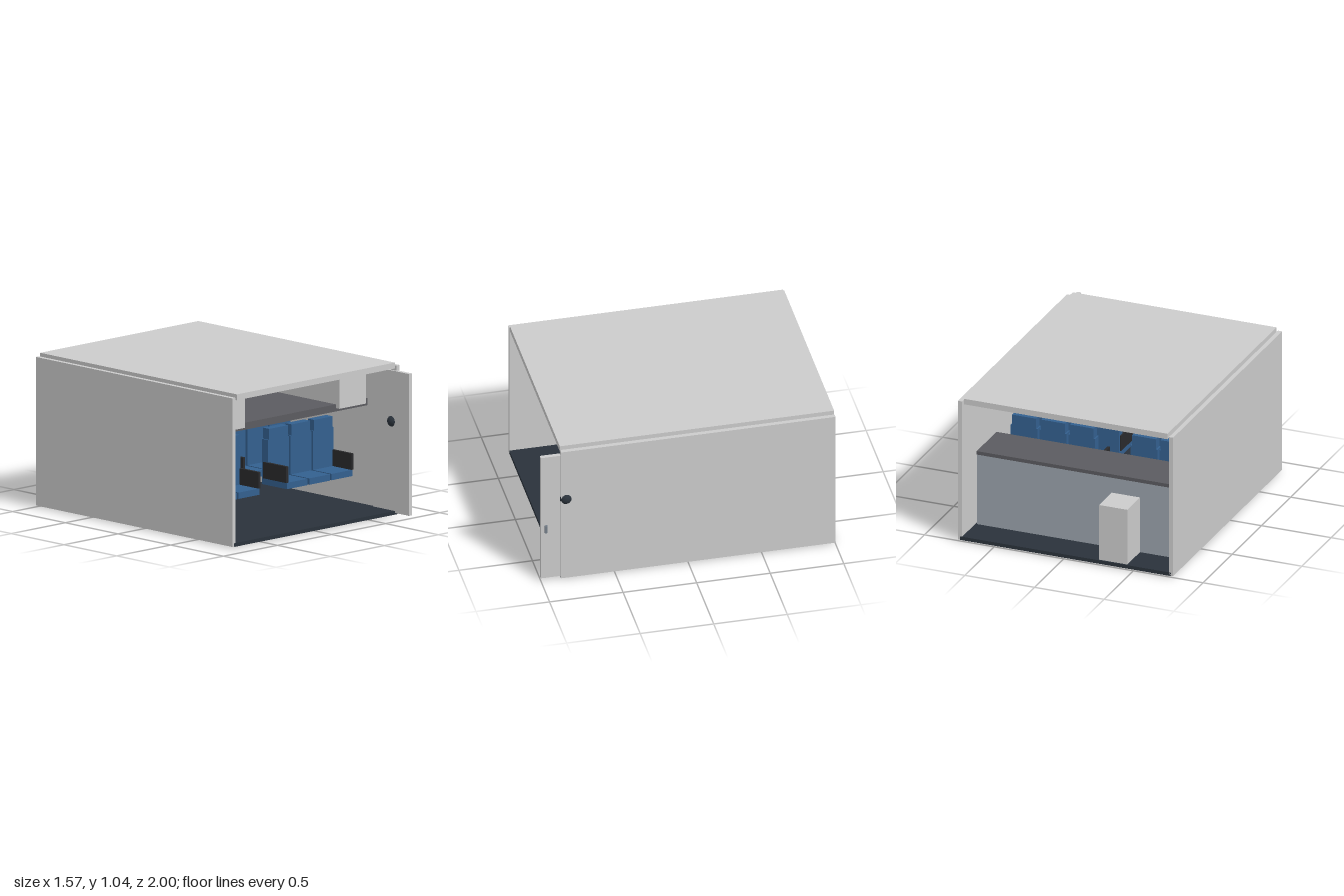
import * as THREE from 'three';

const mat = (color) => new THREE.MeshStandardMaterial({ color });

export function createModel() {
  const root = new THREE.Group();
  const grey = mat(0xcccccc), dark = mat(0x2a323b), slate = mat(0x5b5b60);
  const blue = mat(0x33608f), black = mat(0x2a2a2c), panel = mat(0x9aa2ab);
  const shade = mat(0x737d88), yellow = mat(0xb8862b);

  // Box from its minimum and maximum on each axis
  const box = (name, material, x0, x1, y0, y1, z0, z1, parent = root) => {
    const m = new THREE.Mesh(new THREE.BoxGeometry(x1 - x0, y1 - y0, z1 - z0), material);
    m.position.set((x0 + x1) / 2, (y0 + y1) / 2, (z0 + z1) / 2);
    m.name = name;
    parent.add(m);
    return m;
  };

  // Cabin shell, open at front and back
  box('floor', dark, -0.77, 0.745, 0.008, 0.033, -1, 0.865);
  box('rightWall', grey, -0.785, -0.755, 0.01, 1.015, -1, 0.865);
  box('leftWall', grey, 0.73, 0.76, 0.01, 1.015, -1, 0.865);
  box('ceiling', grey, -0.745, 0.718, 0.997, 1.037, -1, 0.865);
  box('floorMarking', yellow, -0.028, 0.0, 0, 0.01, -0.07, 0.37);

  // Sliding door with handle and round knob
  box('door', grey, 0.716, 0.745, 0.02, 0.98, 0.66, 1);
  box('doorHandle', shade, 0.745, 0.76, 0.385, 0.44, 0.957, 0.975);
  const knob = new THREE.Mesh(new THREE.SphereGeometry(0.042, 24, 16), dark);
  knob.position.set(0.738, 0.635, 0.83);
  knob.name = 'knob';
  root.add(knob);

  // Rear counter and the cabinet behind it
  box('counter', panel, -0.745, 0.718, 0.02, 0.54, -0.773, -0.445);
  box('counterTop', slate, -0.745, 0.718, 0.54, 0.565, -0.778, -0.44);
  box('counterInset', shade, -0.745, 0.718, 0.28, 0.46, -0.445, -0.442);
  box('counterPlate', grey, -0.135, 0.112, 0.465, 0.545, -0.445, -0.438);
  box('cabinet', grey, -0.452, -0.25, 0.02, 0.43, -0.99, -0.773);

  // Overhead shelf with two luggage bins
  box('overheadShelf', slate, -0.738, 0.716, 0.71, 0.758, -0.31, 0.605);
  box('rightBin', grey, -0.69, -0.45, 0.733, 0.935, -0.345, 0.64);
  box('leftBin', grey, 0.425, 0.667, 0.733, 0.935, -0.345, 0.64);

  // Two rows of three seats on each side of the aisle
  const groups = [-0.745, 0.115], pitch = 0.207, width = 0.192;
  for (const front of [0.458, 0.048]) {
    for (const start of groups) {
      const row = new THREE.Group();
      row.name = 'seatRow';
      root.add(row);
      for (let i = 0; i < 3; i++) {
        const x = start + i * pitch, end = x + width;
        box('seatCushion', blue, x, end, 0.207, 0.25, front - 0.237, front, row);
        box('seatBack', blue, x, end, 0.25, 0.513, front - 0.237, front - 0.178, row);
        box('headrest', blue, x + 0.01, end - 0.01, 0.513, 0.587, front - 0.237, front - 0.178, row);
        box('readingLight', grey, x + 0.023, end - 0.023, 0.7, 0.71, front - 0.14, front - 0.06, row);
      }
      // Armrests at both ends of the row
      for (const x of [start + 0.002, start + 2 * pitch + width]) {
        box('armrest', black, x - 0.01, x + 0.01, 0.25, 0.36, front - 0.22, front + 0.001, row);
      }
    }
  }
  return root;
}
